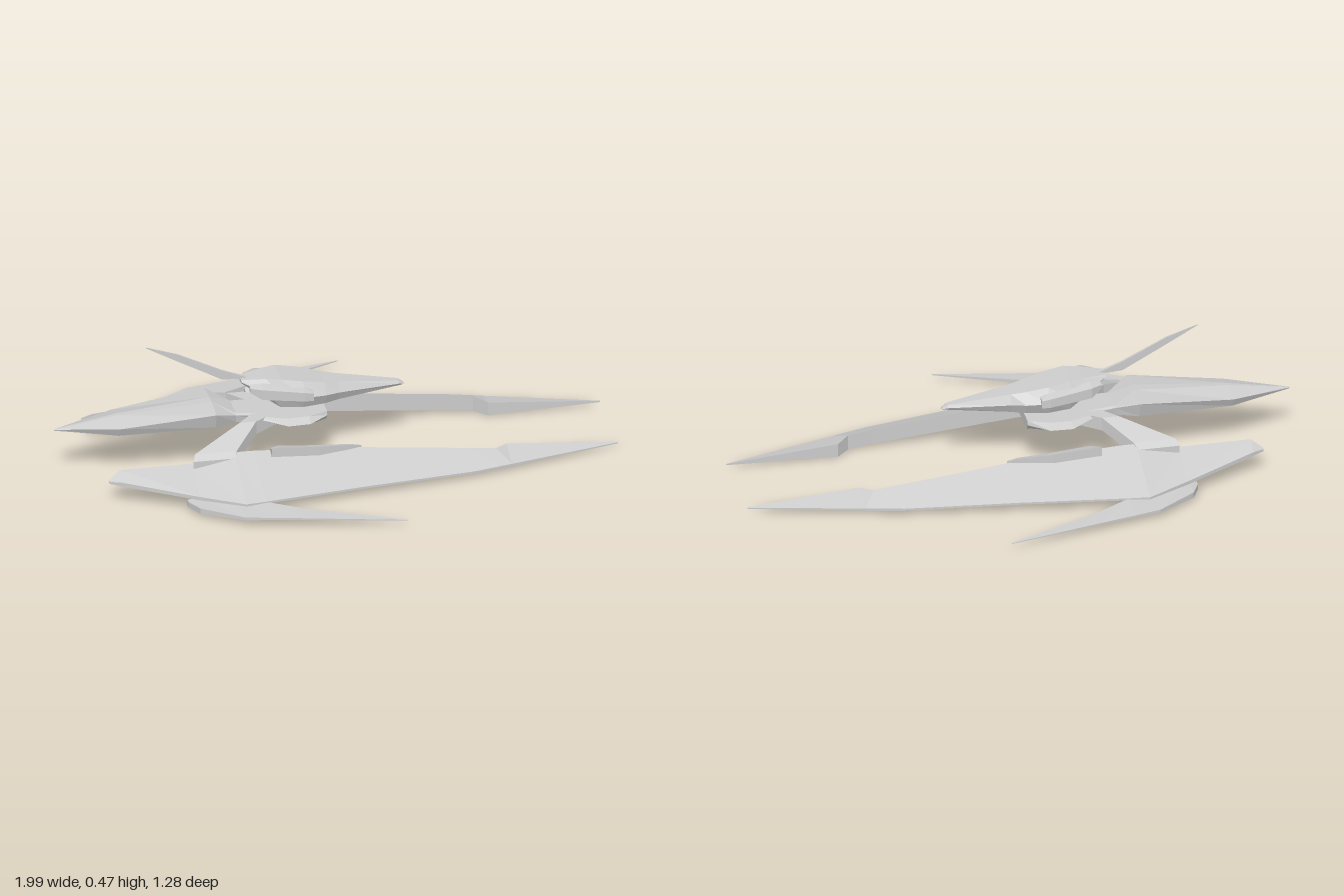
import * as THREE from 'three';

const hullGrey = new THREE.MeshStandardMaterial({ color: 0xcccccc });
hullGrey.name = 'hullGrey';

// Flat-shaded skin over a row of cross-sections with closed ends; faces are turned outward.
function loft(name, sections) {
  const tris = [];
  const n = sections[0].length;
  for (let s = 0; s < sections.length - 1; s++) {
    const a = sections[s], b = sections[s + 1];
    for (let i = 0; i < n; i++) {
      const j = (i + 1) % n;
      tris.push([a[i], a[j], b[j]], [a[i], b[j], b[i]]);
    }
  }
  const first = sections[0], last = sections[sections.length - 1];
  for (let i = 1; i < n - 1; i++) {
    tris.push([first[0], first[i + 1], first[i]], [last[0], last[i], last[i + 1]]);
  }
  const v = (p) => new THREE.Vector3(...p);
  const origin = v(first[0]);
  let volume = 0;
  for (const [a, b, c] of tris) {
    volume += v(a).sub(origin).dot(v(b).sub(origin).cross(v(c).sub(origin)));
  }
  if (volume < 0) tris.forEach((t) => t.reverse());
  const geometry = new THREE.BufferGeometry();
  geometry.setAttribute('position', new THREE.Float32BufferAttribute(tris.flat(2), 3));
  geometry.computeVertexNormals();
  const mesh = new THREE.Mesh(geometry, hullGrey);
  mesh.name = name;
  return mesh;
}

// Symmetric hull; rows are [x, topY, topHalfWidth, midY, midHalfWidth, bottomY, bottomHalfWidth].
const hull = (name, rows) => loft(name, rows.map(([x, ty, tw, my, mw, by, bw]) => [
  [x, ty, tw], [x, my, mw], [x, by, bw], [x, by, -bw], [x, my, -mw], [x, ty, -tw],
]));

// Blade; rows are [x, innerZ, innerTop, innerBottom, outerZ, outerTop, outerBottom].
const blade = (name, side, rows) => loft(name, rows.map(([x, zi, it, ib, zo, ot, ob]) => [
  [x, it, zi * side], [x, ot, zo * side], [x, ob, zo * side], [x, ib, zi * side],
]));

export function createModel() {
  const ship = new THREE.Group();
  ship.name = 'spacecraft';

  // Central hull
  ship.add(hull('cockpit', [
    [-0.335, 0.317, 0.022, 0.312, 0.03, 0.305, 0.02],
    [-0.25, 0.325, 0.045, 0.28, 0.075, 0.25, 0.05],
    [-0.2, 0.325, 0.06, 0.27, 0.083, 0.217, 0.06],
    [-0.12, 0.31, 0.06, 0.26, 0.092, 0.215, 0.07],
    [-0.04, 0.293, 0.045, 0.255, 0.075, 0.215, 0.055],
    [0.01, 0.285, 0.035, 0.25, 0.052, 0.216, 0.035],
    [0.23, 0.256, 0.01, 0.246, 0.016, 0.237, 0.01],
    [0.25, 0.243, 0.006, 0.241, 0.01, 0.239, 0.006],
  ]));
  ship.add(hull('tailBody', [
    [-1, 0.178, 0.001, 0.177, 0.002, 0.173, 0.001],
    [-0.78, 0.215, 0.008, 0.195, 0.08, 0.163, 0.065],
    [-0.44, 0.242, 0.02, 0.233, 0.112, 0.177, 0.095],
    [-0.36, 0.205, 0.05, 0.2, 0.06, 0.172, 0.055],
    [-0.25, 0.2, 0.06, 0.19, 0.065, 0.165, 0.055],
  ]));
  ship.add(hull('hub', [
    [-0.28, 0.2, 0.085, 0.192, 0.095, 0.18, 0.07],
    [-0.19, 0.2, 0.12, 0.185, 0.152, 0.156, 0.085],
    [-0.11, 0.2, 0.115, 0.185, 0.148, 0.156, 0.085],
    [-0.04, 0.2, 0.085, 0.185, 0.09, 0.163, 0.07],
  ]));

  // Swept dorsal fin
  const finSection = (x, top, bottom, w) => [[x, top, w], [x, bottom, w], [x, bottom, -w], [x, top, -w]];
  ship.add(loft('dorsalFin', [
    finSection(-0.67, 0.466, 0.463, 0.001),
    finSection(-0.56, 0.43, 0.403, 0.003),
    finSection(-0.4, 0.352, 0.318, 0.005),
    finSection(-0.31, 0.318, 0.312, 0.006),
  ]));

  for (const side of [1, -1]) {
    const half = new THREE.Group();
    half.name = side > 0 ? 'leftSide' : 'rightSide';

    // Long forward-swept main wing
    half.add(blade('mainWing', side, [
      [-0.85, 0.25, 0.085, 0.075, 0.258, 0.083, 0.075],
      [-0.81, 0.225, 0.11, 0.075, 0.276, 0.085, 0.07],
      [-0.55, 0.225, 0.11, 0.065, 0.382, 0.055, 0.042],
      [-0.4, 0.225, 0.14, 0.07, 0.45, 0.045, 0.037],
      [-0.33, 0.222, 0.138, 0.07, 0.44, 0.044, 0.036],
      [0.05, 0.207, 0.108, 0.048, 0.373, 0.036, 0.028],
      [0.45, 0.21, 0.068, 0.012, 0.31, 0.026, 0.018],
      [0.54, 0.208, 0.057, 0.001, 0.286, 0.025, 0.016],
      [0.585, 0.165, 0.05, 0, 0.274, 0.024, 0.015],
      [0.985, 0.164, 0.019, 0.014, 0.167, 0.018, 0.014],
    ]));

    // Low outer winglet
    half.add(blade('winglet', side, [
      [-0.59, 0.345, 0.03, 0.01, 0.365, 0.03, 0.01],
      [-0.56, 0.345, 0.038, 0.01, 0.43, 0.035, 0.014],
      [-0.42, 0.37, 0.042, 0.012, 0.522, 0.031, 0.02],
      [-0.33, 0.43, 0.04, 0.015, 0.541, 0.03, 0.021],
      [-0.2, 0.5, 0.034, 0.018, 0.568, 0.029, 0.022],
      [0.14, 0.638, 0.027, 0.024, 0.642, 0.026, 0.024],
    ]));

    // Strut from hub to wing
    const strutSection = (z, x0, x1, top, bottom) => [
      [x0, top, z * side], [x1, top, z * side], [x1, bottom, z * side], [x0, bottom, z * side],
    ];
    half.add(loft('strut', [
      strutSection(0.25, -0.55, -0.4, 0.128, 0.085),
      strutSection(0.225, -0.54, -0.39, 0.145, 0.1),
      strutSection(0.12, -0.36, -0.3, 0.2, 0.15),
      strutSection(0.05, -0.3, -0.2, 0.2, 0.155),
    ]));

    // Small gun pod on the inner wing edge
    half.add(blade('wingPod', side, [
      [-0.27, 0.208, 0.135, 0.11, 0.25, 0.152, 0.115],
      [-0.24, 0.2, 0.138, 0.1, 0.248, 0.154, 0.11],
      [-0.1, 0.2, 0.127, 0.1, 0.242, 0.14, 0.1],
      [0.02, 0.195, 0.118, 0.1, 0.215, 0.124, 0.1],
      [0.06, 0.2, 0.112, 0.105, 0.204, 0.114, 0.105],
    ]));

    // Engine intake beside the cockpit
    half.add(blade('intake', side, [
      [-0.31, 0.045, 0.308, 0.285, 0.066, 0.302, 0.285],
      [-0.27, 0.055, 0.314, 0.262, 0.09, 0.304, 0.266],
      [-0.12, 0.06, 0.295, 0.248, 0.103, 0.285, 0.252],
      [-0.09, 0.06, 0.283, 0.246, 0.098, 0.278, 0.25],
    ]));
    ship.add(half);
  }
  return ship;
}
